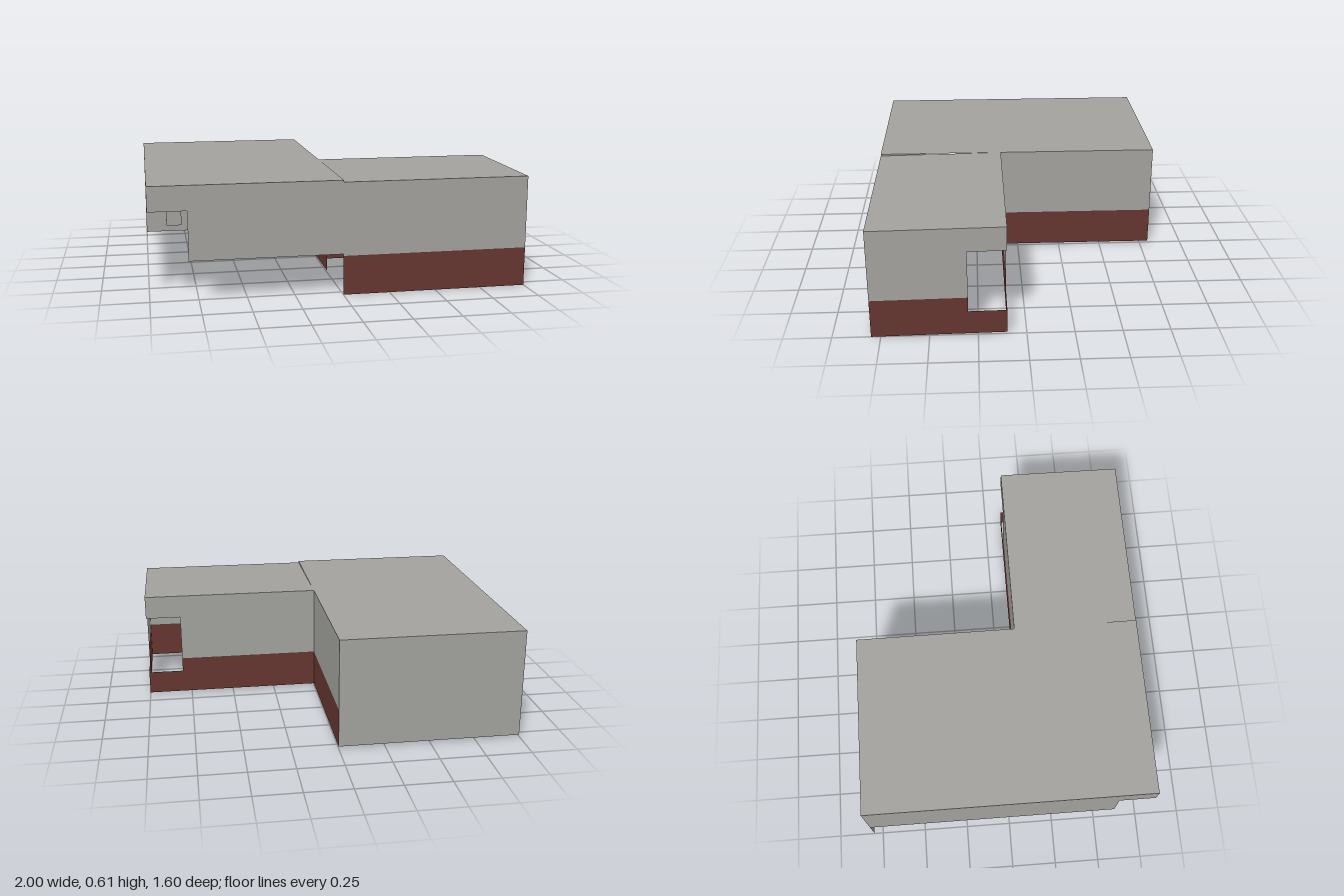
import * as THREE from 'three';

export function createModel() {
  const model = new THREE.Group();
  model.name = 'building';
  const grey = new THREE.MeshStandardMaterial({ color: 0xa3a29e, side: THREE.DoubleSide });
  grey.name = 'grey render';
  const red = new THREE.MeshStandardMaterial({ color: 0x653630, side: THREE.DoubleSide });
  red.name = 'dark red base';

  const Y0 = 0.01, BAND = 0.22, LINTEL = 0.48, SILL = 0.14, TOP = 0.61;

  // The right wing dips slightly towards the front
  const dip = (geo) => {
    const p = geo.attributes.position;
    for (let i = 0; i < p.count; i++) p.setY(i, p.getY(i) - 0.01 * (p.getZ(i) - 0.1) / 0.7);
    geo.computeVertexNormals();
    return geo;
  };

  const add = (name, geo, mat, dips) => {
    const mesh = new THREE.Mesh(dips ? dip(geo) : geo, mat);
    mesh.name = name;
    model.add(mesh);
  };

  const sheet = (pts) => new THREE.ShapeGeometry(new THREE.Shape(pts.map((p) => new THREE.Vector2(...p))));
  // Thin wall running along x at depth z
  const wallX = (name, z, pts, mat, dips) => add(name, sheet(pts).translate(0, 0, z), mat, dips);
  // Thin wall running along z at position x
  const wallZ = (name, x, pts, mat, dips) => add(name, sheet(pts).rotateY(-Math.PI / 2).translate(x, 0, 0), mat, dips);
  const rect = (a, b, y0, y1) => [[a, y0], [b, y0], [b, y1], [a, y1]];
  // Upper wall whose end c is cut away below the lintel, from b to c
  const notched = (a, b, c) => [[a, BAND], [b, BAND], [b, LINTEL], [c, LINTEL], [c, TOP], [a, TOP]];
  // Base wall that drops to a low parapet from b to c
  const parapet = (a, b, c) => [[a, Y0], [c, Y0], [c, SILL], [b, SILL], [b, BAND], [a, BAND]];

  // Roofs
  const roof = (name, w, d, x, z, dips) =>
    add(name, new THREE.PlaneGeometry(w, d).rotateX(-Math.PI / 2).translate(x, TOP, z), grey, dips);
  roof('leftRoof', 1, 1.6, -0.5, 0, false);
  roof('rightRoof', 1, 0.7, 0.5, 0.45, true);

  // Left wing, open below on the front and outer side
  wallX('backWall', -0.8, rect(-1, 0, Y0, TOP), grey);
  wallX('leftFrontWall', 0.8, notched(0, -0.8, -1), grey);
  wallZ('outerSideWall', -1, notched(-0.8, 0.6, 0.8), grey);
  wallZ('courtWall', 0, rect(-0.8, 0.1, BAND, TOP), grey);
  wallZ('courtBase', 0, rect(-0.8, 0.1, Y0, BAND), red);

  // Right wing with a corner loggia at the back
  wallX('rightFrontWall', 0.8, rect(0, 1, BAND, TOP), grey, true);
  wallX('rightFrontBase', 0.8, rect(0, 1, Y0, BAND), red, true);
  wallZ('endWall', 1, notched(0.8, 0.3, 0.1), grey, true);
  wallZ('endBase', 1, parapet(0.8, 0.3, 0.1), red, true);
  wallX('rightBackWall', 0.1, notched(0, 0.8, 1), grey, true);
  wallX('rightBackBase', 0.1, parapet(0, 0.8, 1), red, true);

  // Partition between the wings, with a passage
  wallZ('partitionFront', 0, rect(0.54, 0.8, BAND, TOP), grey);
  wallZ('partitionBack', 0, rect(0.1, 0.36, BAND, TOP), grey);
  wallZ('partitionBase', 0, rect(0.1, 0.36, Y0, BAND), red);

  // Door panels on the inside of the back wall
  for (const x of [-0.82, -0.18]) {
    add('doorPanel', new THREE.BoxGeometry(0.1, 0.45, 0.01).translate(x, 0.275, -0.79), grey);
  }

  // Shallow ceiling trim
  add('ceilingTrimSide', new THREE.BoxGeometry(0.01, 0.015, 1.2).translate(-0.82, 0.6, -0.19), grey);
  add('ceilingTrimFront', new THREE.BoxGeometry(0.65, 0.015, 0.01).translate(-0.5, 0.6, 0.41), grey);

  return model;
}
